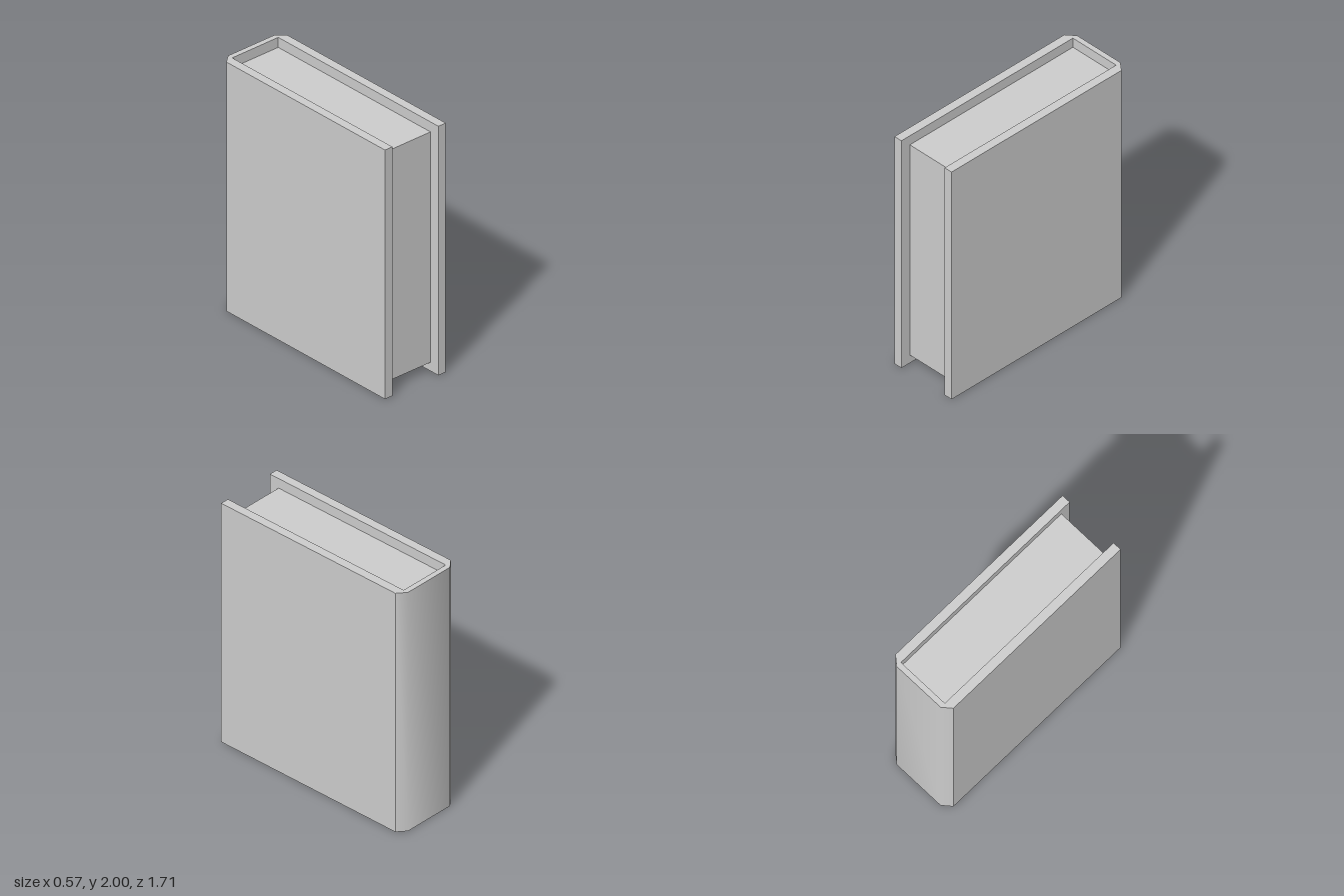
import * as THREE from 'three';
import { toCreasedNormals } from 'three/addons/utils/BufferGeometryUtils.js';

export function createModel() {
  const book = new THREE.Group();
  book.name = 'book';
  const grey = new THREE.MeshStandardMaterial({ color: 0xcccccc });
  grey.name = 'plainGrey';

  const height = 2, outer = 0.284, inner = 0.215;
  const front = -0.857, back = 0.857; // plan coordinates: back is +y before rotating

  // Cover: U-shaped plan with a bevelled spine, extruded to full height
  const plan = new THREE.Shape([
    [-outer, front], [-inner, front], [-inner, 0.815], [inner, 0.815],
    [inner, front], [outer, front], [outer, 0.8], [inner, back],
    [-inner, back], [-outer, 0.8],
  ].map(([x, y]) => new THREE.Vector2(x, y)));
  let coverGeometry = new THREE.ExtrudeGeometry(plan, { depth: height, bevelEnabled: false });
  coverGeometry.rotateX(-Math.PI / 2);
  // Soft shading across the spine bevels, sharp everywhere else
  coverGeometry = toCreasedNormals(coverGeometry, THREE.MathUtils.degToRad(45));
  const cover = new THREE.Mesh(coverGeometry, grey);
  cover.name = 'cover';
  book.add(cover);

  // Page block, set back from the cover's top, bottom and front edges
  const bottom = 0.07, top = 1.92, zBack = -0.815, zFront = 0.775;
  const pages = new THREE.Mesh(
    new THREE.BoxGeometry(inner * 2, top - bottom, zFront - zBack), grey);
  pages.position.set(0, (top + bottom) / 2, (zFront + zBack) / 2);
  pages.name = 'pages';
  book.add(pages);

  return book;
}
